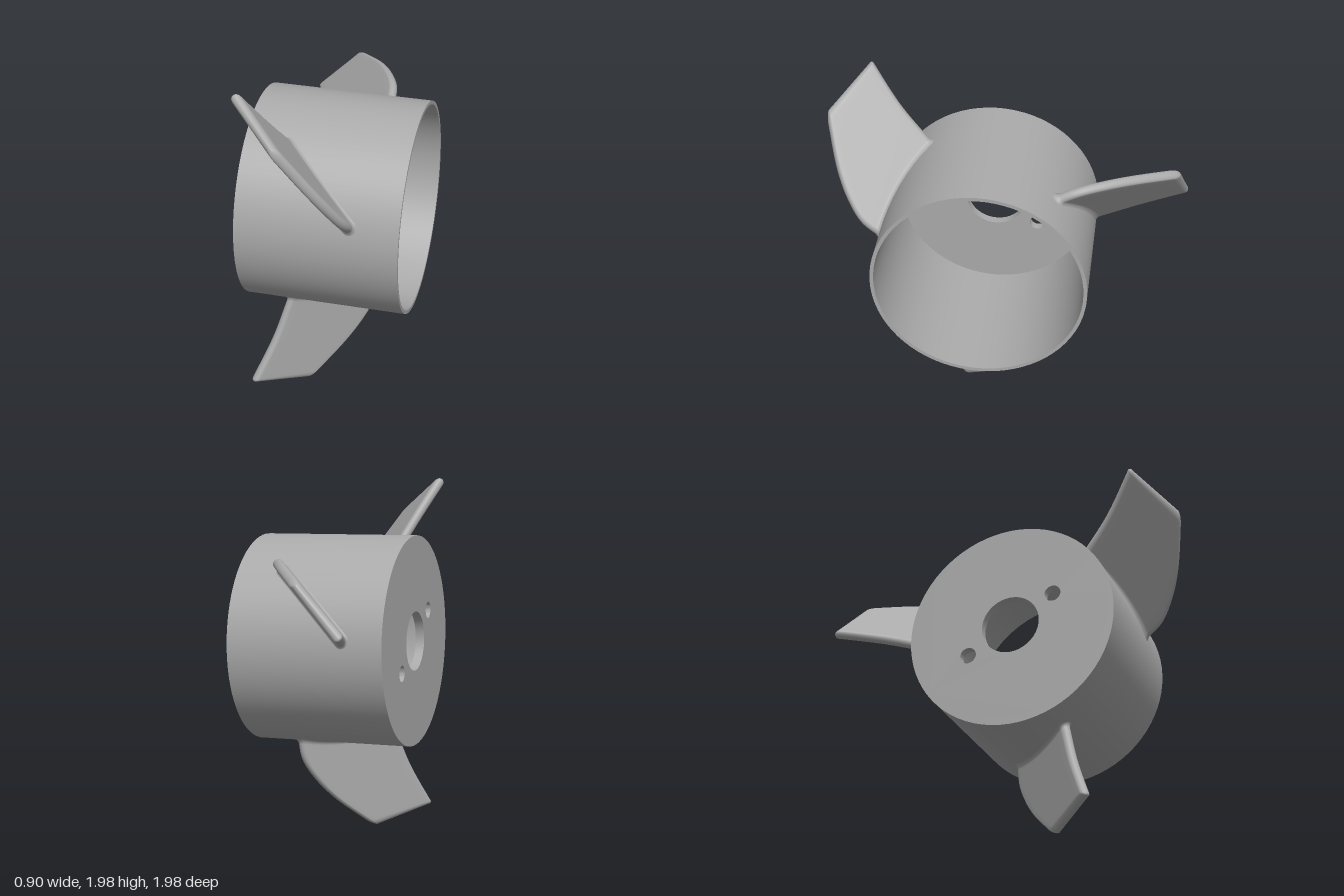
import * as THREE from 'three';
import { toCreasedNormals } from 'three/addons/utils/BufferGeometryUtils.js';

const HUB_R = 0.587, HALF = 0.442, ROOT_R = 0.58;
const THICK = 0.027, FILLET = 0.035, TIP = 0.022;

const curve = (pts) => new THREE.CatmullRomCurve3(pts.map(([u, r]) => new THREE.Vector3(u, r, 0)));

// Pitched blade lofted from root to tip: flared fillet at the hub, rounded edges and tip
function bladeGeometry() {
  const trailing = curve([[-0.34, 0.525], [-0.44, 0.78], [-0.587, 1.03]]);
  const leading = curve([[0.262, 0.55], [0.24, 0.67], [0.165, 0.79], [0.045, 0.92], [-0.198, 1.11]]);
  const t0 = trailing.getPoint(0), l0 = leading.getPoint(0);

  // rows: s along the blade, grow = fillet flare, k = tip rounding
  const rows = [];
  for (let i = 0; i < 6; i++) {
    const d = i / 6;
    rows.push({ s: d * FILLET / 0.5, grow: FILLET * (1 - Math.sqrt(1 - (1 - d) ** 2)), k: 1 });
  }
  const s0 = FILLET / 0.5, s1 = 1 - TIP / 0.5;
  for (let i = 0; i <= 20; i++) rows.push({ s: s0 + (s1 - s0) * i / 20, grow: 0, k: 1 });
  for (let i = 1; i <= 6; i++) {
    const a = i / 6 * Math.PI / 2;
    rows.push({ s: s1 + (1 - s1) * Math.sin(a), grow: 0, k: Math.cos(a) });
  }

  // section loop: w across the blade, (cu, cn) direction of the rounded rim
  const loop = [];
  const END = 8, FLAT = 12;
  for (const side of [1, 0]) {
    const start = side ? -Math.PI / 2 : Math.PI / 2;
    for (let i = 0; i <= END; i++) {
      const a = start + Math.PI * i / END;
      loop.push({ w: side, cu: Math.cos(a), cn: Math.sin(a) });
    }
    for (let i = 1; i < FLAT; i++) {
      loop.push({ w: side ? 1 - i / FLAT : i / FLAT, cu: 0, cn: side ? 1 : -1 });
    }
  }

  const pos = [], index = [], n = loop.length, q = Math.SQRT1_2;
  rows.forEach(({ s, grow, k }, i) => {
    const tp = trailing.getPoint(s), lp = leading.getPoint(s);
    const h = THICK * k + grow;
    loop.forEach(({ w, cu, cn }, j) => {
      const lo = tp.x + THICK, hi = lp.x - THICK;
      const u = lo + (hi - lo) * w + cu * h, v = cn * h;
      const t = (v - u) * q;
      const hub = Math.sqrt(ROOT_R ** 2 - t * t);
      const r = tp.y + (lp.y - tp.y) * w + (1 - s) ** 2 * (hub - t0.y - (l0.y - t0.y) * w);
      pos.push((u + v) * q + 0.01, -r, t);
      if (i < rows.length - 1) {
        const a = i * n + j, b = i * n + (j + 1) % n;
        index.push(a, b, a + n, b, b + n, a + n);
      }
    });
  });
  const g = new THREE.BufferGeometry();
  g.setAttribute('position', new THREE.Float32BufferAttribute(pos, 3));
  g.setIndex(index);
  g.computeVertexNormals();
  return g;
}

export function createModel() {
  const grey = new THREE.MeshStandardMaterial({ color: 0xaaaaaa });
  grey.name = 'plain grey';
  const model = new THREE.Group();
  model.name = 'impeller';
  const add = (name, geometry) => {
    const mesh = new THREE.Mesh(geometry, grey);
    mesh.name = name;
    model.add(mesh);
    return mesh;
  };

  // Hub wall, open on the +x end and slightly tapered inside
  const profile = [[0.565, -HALF], [HUB_R, -HALF], [HUB_R, HALF], [0.567, HALF], [0.548, -HALF + 0.04]]
    .map(([x, y]) => new THREE.Vector2(x, y));
  const wall = new THREE.LatheGeometry(profile, 72);
  wall.rotateZ(-Math.PI / 2);
  add('hubWall', toCreasedNormals(wall, 0.6));

  // End plate with the shaft hole and two bolt holes
  const plate = new THREE.Shape().absarc(0, 0, 0.567, 0, Math.PI * 2);
  for (const [x, y, r] of [[0, 0, 0.165], [-0.243, 0.145, 0.046], [0.243, -0.145, 0.046]]) {
    plate.holes.push(new THREE.Path().absarc(x, y, r, 0, Math.PI * 2, true));
  }
  const disc = new THREE.ExtrudeGeometry(plate, { depth: 0.05, bevelEnabled: false, curveSegments: 20 });
  disc.rotateY(Math.PI / 2);
  disc.translate(-HALF, 0, 0);
  add('endPlate', toCreasedNormals(disc, 0.6));

  // Three blades around the axis
  const blade = bladeGeometry();
  for (let i = 0; i < 3; i++) add('blade' + (i + 1), blade).rotation.x = i * Math.PI * 2 / 3;

  // Slight lean of the whole axis
  model.rotation.z = -0.017;
  model.position.set(-0.002, 1.115, 0.107);
  const root = new THREE.Group();
  root.add(model);
  return root;
}
